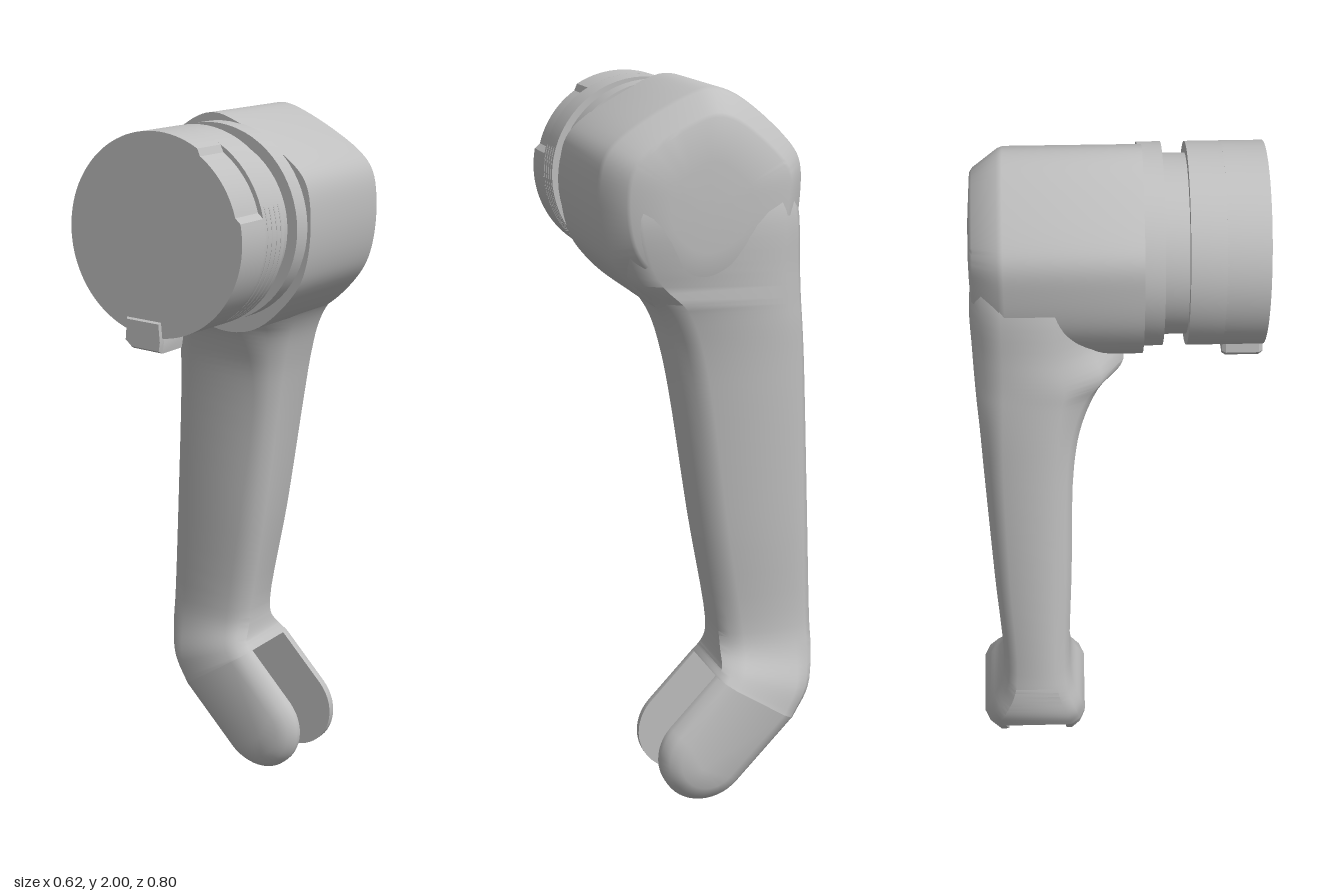
import * as THREE from 'three';
import { toCreasedNormals } from 'three/addons/utils/BufferGeometryUtils.js';

const grey = new THREE.MeshStandardMaterial({ color: 0xc0c0c0 });
grey.name = 'grey';
const V = (x, y, z) => new THREE.Vector3(x, y, z);
const CX = 0.03, CY = 1.71; // axis of the clamp

function part(name, geometry, crease = 0.5) {
  const mesh = new THREE.Mesh(toCreasedNormals(geometry, crease), grey);
  mesh.name = name;
  return mesh;
}

// Skin a list of equal-length rings and close both ends, faces outward
function loft(rings) {
  const n = rings[0].length, pos = rings.flat(), tris = [];
  rings.slice(1).forEach((_, i) => {
    for (let j = 0; j < n; j++) {
      const a = i * n + j, b = i * n + (j + 1) % n;
      tris.push([a, b, b + n], [a, b + n, a + n]);
    }
  });
  [0, rings.length - 1].forEach((r, end) => {
    const c = rings[r].reduce((s, p) => s.add(p), V(0, 0, 0)).divideScalar(n);
    pos.push(c);
    for (let j = 0; j < n; j++) {
      const a = r * n + j, b = r * n + (j + 1) % n;
      tris.push(end ? [a, b, pos.length - 1] : [b, a, pos.length - 1]);
    }
  });
  let volume = 0;
  for (const [a, b, c] of tris) volume += pos[a].dot(pos[b].clone().cross(pos[c]));
  if (volume < 0) tris.forEach((t) => t.reverse());
  const g = new THREE.BufferGeometry().setFromPoints(pos);
  g.setIndex(tris.flat());
  return g.toNonIndexed();
}

// Disc along z, from z0 to z1
function disc(name, r, z0, z1) {
  const g = new THREE.CylinderGeometry(r, r, z1 - z0, 64);
  g.rotateX(Math.PI / 2).translate(CX, CY, (z0 + z1) / 2);
  return part(name, g);
}

// Arm cross-section between edges L and R; front corners fx by fz, back corners bx by bz
function armSection([lx, ly, rx, ry, zf, zb, fx, fz, bx, bz]) {
  const L = V(lx, ly, 0), R = V(rx, ry, 0), w = L.distanceTo(R);
  const at = (u, z) => L.clone().lerp(R, u / w).setZ(z);
  const k = 0.38;
  return [
    at(fx, zf), at(w - fx, zf), at(w - k * fx, zf - k * fz), at(w, zf - fz),
    at(w, zb + bz), at(w - k * bx, zb + k * bz), at(w - bx, zb), at(bx, zb),
    at(k * bx, zb + k * bz), at(0, zb + bz), at(0, zf - fz), at(k * fx, zf - k * fz),
  ];
}

function armGeometry() {
  const sections = [
    [-0.20, 1.80, 0.24, 1.80, -0.10, -0.355, 0.06, 0.05, 0.06, 0.05],
    [-0.245, 1.68, 0.285, 1.68, -0.06, -0.382, 0.12, 0.10, 0.07, 0.08],
    [-0.254, 1.52, 0.245, 1.52, -0.01, -0.381, 0.18, 0.15, 0.07, 0.08],
    [-0.258, 1.43, 0.155, 1.43, 0.02, -0.378, 0.16, 0.16, 0.065, 0.075],
    [-0.262, 1.37, 0.122, 1.37, -0.05, -0.375, 0.11, 0.10, 0.06, 0.07],
    [-0.267, 1.28, 0.097, 1.28, -0.095, -0.37, 0.08, 0.065, 0.06, 0.062],
    [-0.272, 1.16, 0.075, 1.16, -0.118, -0.365, 0.06, 0.05, 0.06, 0.055],
    [-0.29, 0.80, 0.022, 0.80, -0.13, -0.348, 0.06, 0.045, 0.06, 0.045],
    [-0.308, 0.48, -0.031, 0.48, -0.14, -0.332, 0.06, 0.04, 0.06, 0.04],
    [-0.309, 0.395, -0.032, 0.43, -0.132, -0.345, 0.06, 0.04, 0.06, 0.04],
    [-0.288, 0.295, -0.025, 0.39, -0.108, -0.38, 0.055, 0.04, 0.055, 0.04],
    [-0.235, 0.214, -0.008, 0.364, -0.097, -0.398, 0.05, 0.04, 0.05, 0.04],
  ].map(armSection);
  const steps = (sections.length - 1) * 5;
  const edges = sections[0].map((_, j) => new THREE.CatmullRomCurve3(sections.map((s) => s[j])));
  return loft(Array.from({ length: steps + 1 }, (_, i) => edges.map((e) => e.getPoint(i / steps))));
}

// Fork prong: stadium end with the outer rim bevelled
function prongGeometry(inner, outer) {
  const s = Math.sign(outer - inner), r = 0.133, c = 0.05;
  const end = V(0.03, 0.133, 0), a0 = Math.atan2(0.688, 0.726);
  const baseL = V(-0.235, 0.214, 0), baseR = V(-0.008, 0.364, 0);
  const width = baseL.distanceTo(baseR);
  const ring = (inset, z) => {
    const pts = [];
    for (let i = 0; i <= 24; i++) {
      const a = a0 - Math.PI * i / 24;
      pts.push(V(end.x + (r - inset) * Math.cos(a), end.y + (r - inset) * Math.sin(a), z));
    }
    pts.push(baseL.clone().lerp(baseR, inset / width).setZ(z));
    pts.push(baseR.clone().lerp(baseL, inset / width).setZ(z));
    return pts;
  };
  return loft([ring(0, inner), ring(0, outer - s * 0.04),
    ring(0.38 * c, outer - s * 0.0152), ring(c, outer)]);
}

// Housing: rounded irregular outline, chamfered at the back
function housingGeometry() {
  const outline = new THREE.CatmullRomCurve3([
    [0, 2.0], [0.07, 1.982], [0.25, 1.88], [0.295, 1.825], [0.31, 1.72], [0.295, 1.6],
    [0.262, 1.53], [0.15, 1.425], [0.06, 1.402], [-0.05, 1.425], [-0.17, 1.5], [-0.235, 1.6],
    [-0.255, 1.72], [-0.25, 1.8], [-0.215, 1.855], [-0.07, 1.978],
  ].map(([x, y]) => V(x, y, 0)), true).getPoints(96).slice(0, 96);
  const ring = (z, k) => outline.map((p) => V(CX + (p.x - CX) * k, 1.7 + (p.y - 1.7) * k, z));
  return loft([ring(0.07, 1), ring(-0.29, 1), ring(-0.305, 0.98), ring(-0.37, 0.805),
    ring(-0.377, 0.77), ring(-0.386, 0.4)]);
}

// Front of the cap, with a shallow recess at the upper right
function capFrontGeometry() {
  const ring = (z) => Array.from({ length: 96 }, (_, i) => {
    const a = i / 96 * Math.PI * 2, r = a > 0.2 && a < 1.02 ? 0.258 : 0.27;
    return V(CX + r * Math.cos(a), CY + r * Math.sin(a), z);
  });
  return loft([ring(0.28), ring(0.393)]);
}

export function createModel() {
  const model = new THREE.Group();
  model.name = 'crankArm';
  model.add(
    part('arm', armGeometry(), 0.75),
    part('frontProng', prongGeometry(-0.155, -0.097), 0.75),
    part('backProng', prongGeometry(-0.335, -0.398), 0.75),
    part('housing', housingGeometry(), 0.75),
    disc('collar', 0.27, 0.06, 0.123),
    disc('groove', 0.24, 0.11, 0.2),
    disc('capRing', 0.27, 0.187, 0.285),
    part('capFront', capFrontGeometry()),
  );

  // Fine grip ridges on the lower right of the cap ring
  for (let i = 0; i < 4; i++) {
    const g = new THREE.TorusGeometry(0.269, 0.003, 6, 32, 1.3);
    g.rotateZ(-1.0).translate(CX, CY, 0.203 + i * 0.022);
    model.add(part('gripRidge', g, 1));
  }

  // Latch tab under the cap
  const tab = new THREE.Shape([[-0.062, 1.49], [-0.068, 1.425], [-0.045, 1.405], [0.05, 1.4],
    [0.055, 1.43], [0.05, 1.485]].map(([x, y]) => new THREE.Vector2(x, y)));
  const tabGeometry = new THREE.ExtrudeGeometry(tab, { depth: 0.09, bevelThickness: 0.01,
    bevelSize: 0.006, bevelOffset: -0.006, bevelSegments: 1 });
  model.add(part('latchTab', tabGeometry.translate(0, 0, 0.3)));
  return model;
}
